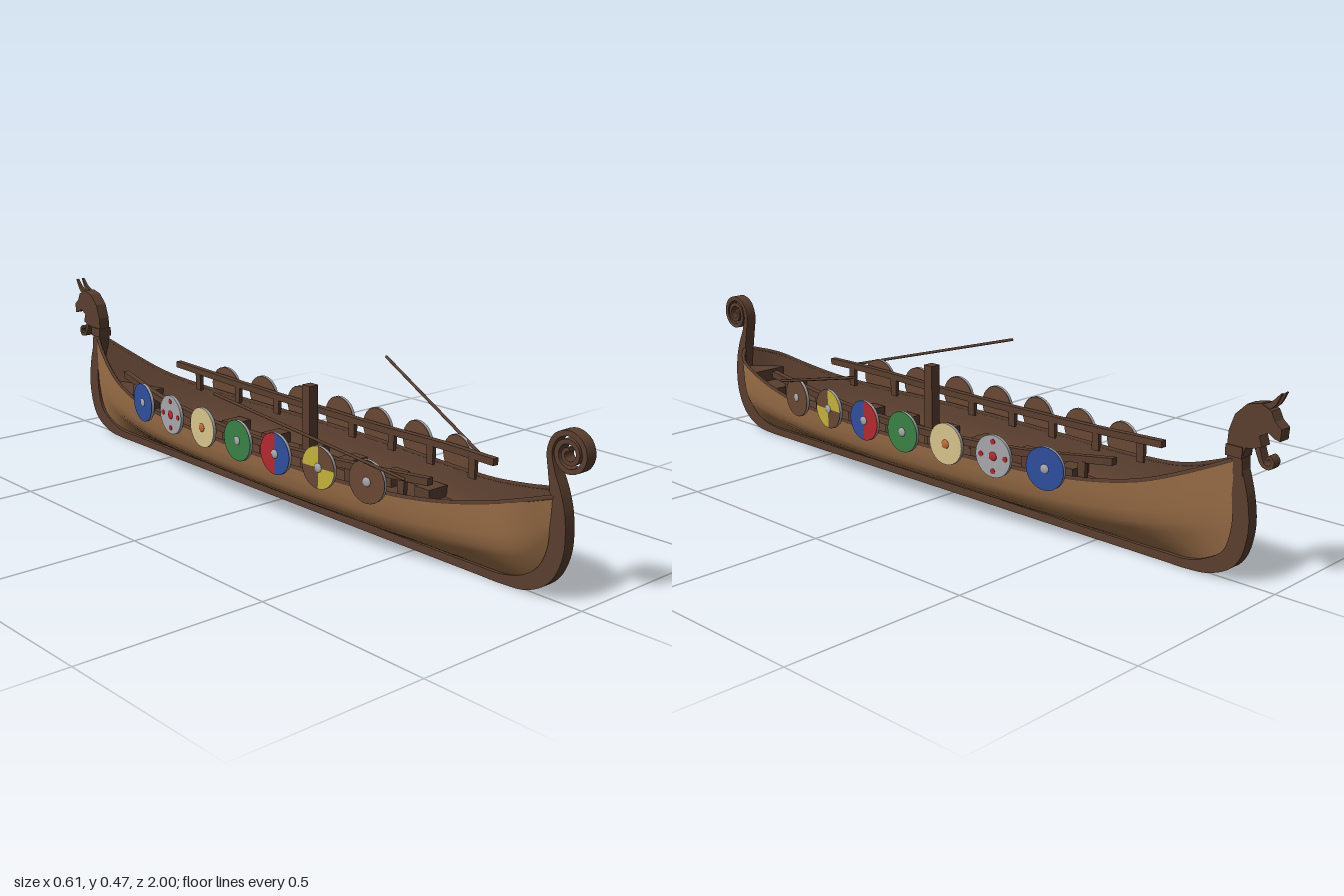
import * as THREE from 'three';

const mat = (name, color) => {
  const m = new THREE.MeshStandardMaterial({ color, side: THREE.DoubleSide });
  m.name = name;
  return m;
};

export function createModel() {
  const ship = new THREE.Group();
  ship.name = 'longship';
  const M = {
    hull: mat('oakPlank', 0x9e7149), dark: mat('darkTimber', 0x5a3f2f),
    brown: mat('shieldBrown', 0x6a4834), yellow: mat('shieldYellow', 0xc4b23c),
    blue: mat('shieldBlue', 0x2f4f9e), red: mat('shieldRed', 0xb5282f),
    green: mat('shieldGreen', 0x3a8046), cream: mat('shieldCream', 0xd8c48c),
    grey: mat('iron', 0xa6a8ac), orange: mat('copper', 0xc06a34),
  };
  const add = (parent, name, geo, m, x = 0, y = 0, z = 0) => {
    const mesh = new THREE.Mesh(geo, m);
    mesh.name = name;
    mesh.position.set(x, y, z);
    parent.add(mesh);
    return mesh;
  };

  // Skin stretched over rows of points
  const loft = (rows) => {
    const n = rows[0].length, idx = [];
    for (let i = 0; i < rows.length - 1; i++)
      for (let j = 0; j < n - 1; j++) {
        const a = i * n + j, b = a + n;
        idx.push(a, b, a + 1, b, b + 1, a + 1);
      }
    const g = new THREE.BufferGeometry();
    g.setAttribute('position', new THREE.Float32BufferAttribute(rows.flat(2), 3));
    g.setIndex(idx);
    g.computeVertexNormals();
    return g;
  };

  // Side outline in (z, y) cut from a plank of the given width in x
  const plank = (shape, width) => {
    const g = new THREE.ExtrudeGeometry(shape, { depth: width, bevelEnabled: false });
    return g.translate(0, 0, -width / 2).rotateY(-Math.PI / 2);
  };
  // Ribbon along [z, y, thickness] points
  const ribbon = (pts, width, steps = 6) => {
    const c = new THREE.CatmullRomCurve3(pts.map((p) => new THREE.Vector3(...p)));
    const n = (pts.length - 1) * steps, left = [], right = [];
    for (let i = 0; i <= n; i++) {
      const p = c.getPoint(i / n), t = c.getTangent(i / n);
      const k = p.z / 2 / Math.hypot(t.x, t.y);
      left.push(new THREE.Vector2(p.x - t.y * k, p.y + t.x * k));
      right.unshift(new THREE.Vector2(p.x + t.y * k, p.y - t.x * k));
    }
    return plank(new THREE.Shape([...left, ...right]), width);
  };

  // Hull lines: half width, sheer height, z
  const lines = new THREE.CatmullRomCurve3([
    [0.012, 0.3, -0.895], [0.05, 0.257, -0.8], [0.091, 0.211, -0.67], [0.13, 0.187, -0.5],
    [0.157, 0.178, -0.25], [0.168, 0.176, 0], [0.165, 0.176, 0.25], [0.147, 0.178, 0.47],
    [0.122, 0.188, 0.63], [0.097, 0.21, 0.76], [0.07, 0.232, 0.85], [0.012, 0.248, 0.92],
  ].map((p) => new THREE.Vector3(...p)));
  const at = (z) => {
    let lo = 0, hi = 1;
    for (let i = 0; i < 24; i++) {
      const mid = (lo + hi) / 2;
      if (lines.getPoint(mid).z < z) lo = mid; else hi = mid;
    }
    return lines.getPoint(lo);
  };
  const section = [[0, 0], [0.24, 0.1], [0.48, 0.22], [0.7, 0.35], [0.845, 0.46], [0.925, 0.62], [0.97, 0.82], [1, 1]];
  const keelY = (z) => 0.017 + 0.13 * (Math.max(0, Math.abs(z) - 0.78) / 0.14) ** 4;
  const shell = (inset) => {
    const rows = [];
    for (let i = 0; i <= 77; i++) {
      const p = lines.getPoint(i / 77), bottom = keelY(p.z) + inset;
      const w = Math.max(0.004, p.x - inset);
      rows.push(section.map(([u, v]) => [u * w, bottom + v * (p.y - bottom), p.z]));
    }
    return loft(rows);
  };
  // Inside half width of the hull at a given height
  const widthAt = (z, y) => {
    const p = at(z), v = (y - keelY(z)) / (p.y - keelY(z));
    const k = Math.max(1, section.findIndex((q) => q[1] >= v));
    const [u0, v0] = section[k - 1], [u1, v1] = section[k];
    return Math.max(0.003, p.x * (u0 + (u1 - u0) * (v - v0) / (v1 - v0)) - 0.005);
  };

  // Keel, stems and the spiral at the front
  const spine = [];
  for (let i = 18; i >= 0; i--) {
    const a = Math.PI - i * Math.PI / 4, r = 0.052 - i * 0.0023;
    spine.push([0.952 + r * Math.cos(a), 0.353 + r * Math.sin(a), 0.014 - i * 0.0003]);
  }
  spine.push([0.908, 0.305, 0.019], [0.923, 0.255, 0.032], [0.932, 0.2, 0.042], [0.93, 0.12, 0.045],
    [0.902, 0.06, 0.044], [0.85, 0.025, 0.036], [0.78, 0.012, 0.024], [0.7, 0.011, 0.022],
    [0, 0.011, 0.022], [-0.7, 0.011, 0.022], [-0.77, 0.012, 0.024], [-0.83, 0.025, 0.036],
    [-0.885, 0.06, 0.044], [-0.908, 0.13, 0.045], [-0.905, 0.2, 0.042], [-0.887, 0.28, 0.034]);
  add(ship, 'keelAndStems', ribbon(spine, 0.032), M.dark);

  // Carved beast head at the other end
  const head = new THREE.Group();
  head.name = 'beastHead';
  ship.add(head);
  const outline = [[-0.872, 0.26], [-0.863, 0.31], [-0.866, 0.36], [-0.88, 0.4], [-0.91, 0.429], [-0.945, 0.437],
    [-0.972, 0.424], [-0.983, 0.402], [-1, 0.388], [-0.998, 0.36], [-0.983, 0.364], [-0.968, 0.374], [-0.945, 0.362],
    [-0.953, 0.338], [-0.93, 0.33], [-0.912, 0.328], [-0.904, 0.3], [-0.908, 0.26]];
  add(head, 'skull', plank(new THREE.Shape(outline.map((p) => new THREE.Vector2(...p))), 0.034), M.dark);
  add(head, 'curledJaw', ribbon([[-0.935, 0.348, 0.014], [-0.945, 0.318, 0.012], [-0.956, 0.297, 0.01],
    [-0.973, 0.294, 0.009], [-0.98, 0.307, 0.008], [-0.971, 0.318, 0.007], [-0.964, 0.311, 0.006]], 0.026), M.dark);
  add(head, 'collar', new THREE.BoxGeometry(0.042, 0.026, 0.044), M.dark, 0, 0.315, -0.884);
  for (const s of [-1, 1]) {
    const horn = add(head, 'horn', ribbon([[-0.945, 0.425, 0.018], [-0.972, 0.44, 0.013], [-0.992, 0.466, 0.003]], 0.008), M.dark);
    horn.position.x = s * 0.01;
  }

  // Floor and raised end platforms
  const floor = (name, z0, z1, y, base) => {
    const rows = [];
    for (let i = 0; i <= 20; i++) {
      const z = z0 + (z1 - z0) * i / 20, w = widthAt(z, y);
      rows.push([[-w, y, z], [w, y, z]]);
    }
    add(ship, name, loft(rows), M.dark);
    if (base) {
      const w = widthAt(z0, base), v = widthAt(z0, y);
      add(ship, name + 'Step', loft([[[-w, base, z0], [w, base, z0]], [[-v, y, z0], [v, y, z0]]]), M.dark);
    }
  };
  floor('deck', -0.68, 0.75, 0.1);
  floor('rearPlatform', -0.67, -0.885, 0.16, 0.1);
  floor('frontPlatform', 0.74, 0.9, 0.155, 0.1);
  floor('frontSeat', 0.83, 0.91, 0.19, 0.155);
  add(ship, 'mast', new THREE.BoxGeometry(0.03, 0.24, 0.03), M.dark, 0, 0.217, 0.097);

  // Painted shield facing +x; each face is a list of [colour, start, sweep] sectors
  const T = Math.PI * 2, R = 0.055;
  const faces = [
    [0.48, [['brown', 0, T]]],
    [0.325, [['yellow', 0, T / 4], ['brown', T / 4, T / 4], ['yellow', T / 2, T / 4], ['brown', T * 0.75, T / 4]]],
    [0.17, [['blue', -T / 4, T / 2], ['red', T / 4, T / 2]]],
    [0.02, [['green', 0, T]]],
    [-0.135, [['cream', 0, T]], 'orange'],
    [-0.29, [['grey', 0, T]], 'red', true],
    [-0.445, [['blue', 0, T]]],
  ];
  const disc = (r, h, start = 0, sweep = T, open = false) =>
    new THREE.CylinderGeometry(r, r, h, Math.max(8, Math.round(28 * sweep / T)), 1, open, start, sweep).rotateZ(-Math.PI / 2);
  const makeShield = (sectors, boss = 'grey', studs = false) => {
    const g = new THREE.Group();
    g.name = 'shield';
    add(g, 'shieldBack', disc(R - 0.001, 0.005), M.brown, -0.0025);
    add(g, 'shieldRim', disc(R, 0.007, 0, T, true), M.grey);
    for (const [c, a, sweep] of sectors) add(g, 'shieldFace', disc(R - 0.0005, 0.004, a, sweep), M[c], 0.0025);
    const dome = new THREE.SphereGeometry(0.012, 16, 6, 0, T, 0, Math.PI / 2).scale(1, 0.35, 1).rotateZ(-Math.PI / 2);
    add(g, 'shieldBoss', dome, M[boss], 0.0044);
    if (studs) for (let i = 0; i < 4; i++) {
      const a = i * T / 4;
      add(g, 'shieldStud', disc(0.007, 0.002), M.red, 0.005, 0.038 * Math.sin(a), 0.038 * Math.cos(a));
    }
    return g;
  };

  // Square-cut rail that bows along the ship's side
  const railPath = new THREE.CatmullRomCurve3([[0.113, 0.234, 0.64], [0.14, 0.225, 0.45], [0.157, 0.213, 0.2],
    [0.157, 0.213, -0.1], [0.138, 0.223, -0.36], [0.096, 0.246, -0.61]].map((p) => new THREE.Vector3(...p)));
  const corners = [[-1, -1], [1, -1], [1, 1], [-1, 1], [-1, -1]];
  const railRows = Array.from({ length: 31 }, (_, i) => {
    const p = railPath.getPoint(i / 30);
    return corners.map(([a, b]) => [p.x + a * 0.009, p.y + b * 0.009, p.z]);
  });
  const middle = (row) => row.map(() => [0, 1, 2].map((k) => (row[0][k] + row[2][k]) / 2));
  const railGeo = loft([middle(railRows[0]), ...railRows, middle(railRows[30])]).toNonIndexed();
  railGeo.computeVertexNormals();

  // Everything that is mirrored across the ship
  const gunwale = new THREE.CatmullRomCurve3(Array.from({ length: 31 }, (_, i) => {
    const p = lines.getPoint(i / 30);
    return new THREE.Vector3(Math.max(0.004, p.x - 0.004), p.y - 0.001, p.z);
  }));
  for (const s of [1, -1]) {
    const side = new THREE.Group();
    side.name = s > 0 ? 'leftSide' : 'rightSide';
    side.scale.x = s;
    ship.add(side);
    add(side, 'hullPlanking', shell(0), M.hull);
    add(side, 'hullLining', shell(0.007), M.dark);
    add(side, 'gunwale', new THREE.TubeGeometry(gunwale, 60, 0.006, 4), M.dark);
    add(side, 'shieldRail', railGeo, M.dark);
    for (const z of [0.56, 0.4, 0.25, 0.095, -0.06, -0.21, -0.37, -0.53]) {
      const p = at(z);
      add(side, 'railPost', new THREE.BoxGeometry(0.012, 0.055, 0.022), M.dark, p.x - 0.011, p.y + 0.016, z);
    }
    for (const z of [-0.33, -0.16, 0, 0.15, 0.31, 0.45])
      add(side, 'bench', new THREE.BoxGeometry(0.066, 0.03, 0.05), M.dark, at(z).x * 0.62, 0.115, z);
    for (const [z, sectors, boss, studs] of faces) {
      const g = makeShield(sectors, boss, studs);
      g.position.set(at(z).x + 0.012, 0.203, z);
      g.rotation.y = Math.atan((at(z + 0.03).x - at(z - 0.03).x) / 0.06);
      side.add(g);
    }
    const oar = new THREE.LineCurve3(new THREE.Vector3(0.135, 0.228, 0.58), new THREE.Vector3(0.3, 0.361, 0.075));
    add(side, 'oar', new THREE.TubeGeometry(oar, 1, 0.004, 8), M.dark);
  }
  return ship;
}
